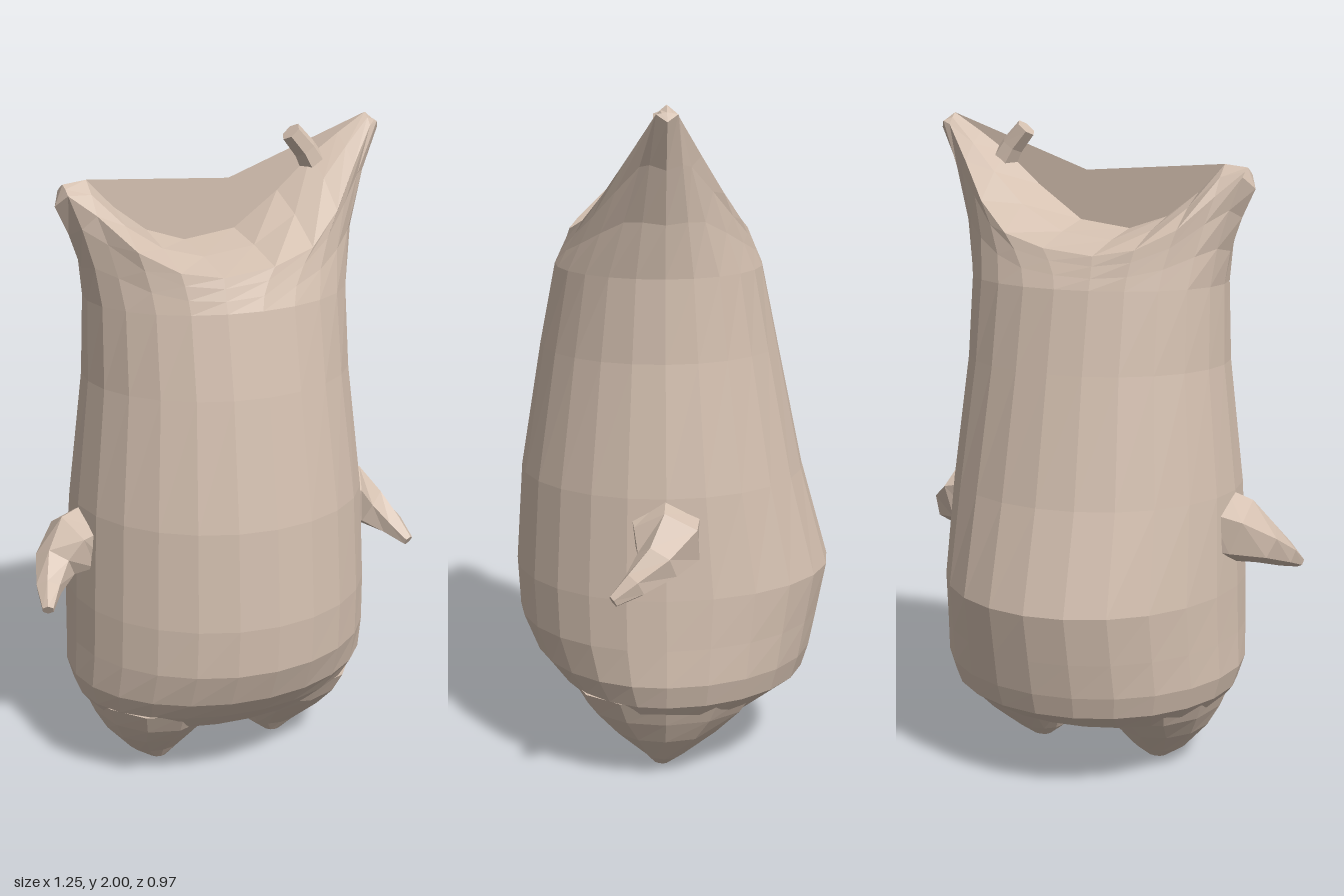
import * as THREE from 'three';

const SIDES = 24;
const material = new THREE.MeshStandardMaterial({ color: 0xd4c0b0, flatShading: true });

// Skin a stack of closed rings; both ends are closed with fans.
function loft(name, rings) {
  const n = rings[0].length, pos = [];
  const tri = (...p) => p.forEach((v) => pos.push(v.x, v.y, v.z));
  for (let i = 0; i < rings.length - 1; i++) {
    for (let j = 0; j < n; j++) {
      const k = (j + 1) % n;
      const a = rings[i][j], b = rings[i][k], c = rings[i + 1][k], d = rings[i + 1][j];
      tri(a, d, b);
      tri(b, d, c);
    }
  }
  const fan = (ring, top) => {
    const mid = ring.reduce((s, p) => s.add(p), new THREE.Vector3()).divideScalar(n);
    ring.forEach((p, j) => {
      const q = ring[(j + 1) % n];
      if (top) tri(mid, q, p); else tri(mid, p, q);
    });
  };
  fan(rings[0], false);
  fan(rings[rings.length - 1], true);
  const geo = new THREE.BufferGeometry();
  geo.setAttribute('position', new THREE.Float32BufferAttribute(pos, 3));
  geo.computeVertexNormals();
  const mesh = new THREE.Mesh(geo, material);
  mesh.name = name;
  return mesh;
}

// Horizontal oval with separate front and back reach.
function oval(y, cx, rx, zFront, zBack, n = SIDES, cz = 0.04) {
  return Array.from({ length: n }, (_, j) => {
    const a = (j / n) * Math.PI * 2, s = Math.sin(a);
    return new THREE.Vector3(cx + rx * Math.cos(a), y, cz + s * (s > 0 ? zFront - cz : cz - zBack));
  });
}

// Tapered limb along a path of [x, y, z, radius].
function limb(name, path, sides = 6) {
  const pts = path.map((p) => new THREE.Vector3(p[0], p[1], p[2]));
  const rings = pts.map((p, i) => {
    const t = pts[Math.min(i + 1, pts.length - 1)].clone().sub(pts[Math.max(i - 1, 0)]).normalize();
    const u = new THREE.Vector3(0, 1, 0).addScaledVector(t, -t.y).normalize();
    const v = u.clone().cross(t);
    return Array.from({ length: sides }, (_, j) => {
      const a = (j / sides) * Math.PI * 2;
      return p.clone().addScaledVector(u, path[i][3] * Math.cos(a)).addScaledVector(v, path[i][3] * Math.sin(a));
    });
  });
  return loft(name, rings);
}

function buildBody() {
  // y, half width, front z, back z
  const rings = [
    [0.19, 0.3, 0.2, -0.16],
    [0.2, 0.4, 0.29, -0.3],
    [0.27, 0.455, 0.37, -0.41],
    [0.34, 0.475, 0.43, -0.432],
    [0.45, 0.47, 0.477, -0.455],
    [0.6, 0.466, 0.485, -0.485],
    [0.9, 0.452, 0.465, -0.4],
    [1.28, 0.41, 0.402, -0.32],
    [1.52, 0.405, 0.355, -0.27],
  ].map(([y, rx, f, b]) => oval(y, 0, rx, f, b));

  // Saddle top, from the tall horn to the short one: x, rim y, front z, back z, ridge y
  const stations = [
    [0.535, 1.955, 0.04, 0.04, 1.955],
    [0.515, 1.975, 0.07, 0.01, 1.98],
    [0.49, 1.965, 0.075, 0.005, 2.0],
    [0.4, 1.86, 0.14, -0.06, 1.945],
    [0.31, 1.75, 0.21, -0.13, 1.885],
    [0.2, 1.665, 0.27, -0.19, 1.79],
    [0.06, 1.63, 0.305, -0.22, 1.69],
    [-0.1, 1.615, 0.31, -0.225, 1.67],
    [-0.22, 1.635, 0.285, -0.2, 1.71],
    [-0.32, 1.69, 0.22, -0.13, 1.785],
    [-0.4, 1.78, 0.12, -0.04, 1.868],
    [-0.47, 1.835, 0.083, -0.003, 1.86],
    [-0.495, 1.8, 0.04, 0.04, 1.8],
  ];
  const topRing = (s) => Array.from({ length: SIDES }, (_, j) => {
    const front = j <= SIDES / 2;
    const [x, y, f, b, ridge] = stations[front ? j : SIDES - j];
    const z = THREE.MathUtils.lerp(front ? f : b, 0.04, s);
    return new THREE.Vector3(x, THREE.MathUtils.lerp(y, ridge, Math.pow(s, 0.75)), z);
  });
  const shoulder = rings[rings.length - 1], rim = topRing(0);

  // The walls flare outward gradually on their way up to the rim
  [0.35, 0.7].forEach((t) => rings.push(shoulder.map((p, j) => {
    const q = p.clone().lerp(rim[j], t);
    q.x = THREE.MathUtils.lerp(p.x, rim[j].x, Math.pow(t, 1.6));
    return q;
  })));
  rings.push(rim, topRing(0.5), topRing(1));
  return loft('body', rings);
}

export function createModel() {
  const group = new THREE.Group();
  group.add(buildBody());

  for (const [side, label] of [[1, 'left'], [-1, 'right']]) {
    // Stubby pointed feet blending into the underside
    group.add(loft(label + 'Foot', [
      oval(0, side * 0.205, 0.03, 0.07, 0.02, 12),
      oval(0.04, side * 0.21, 0.085, 0.1, -0.03, 12),
      oval(0.13, side * 0.225, 0.15, 0.2, -0.14, 12),
      oval(0.2, side * 0.225, 0.19, 0.27, -0.22, 12),
      oval(0.27, side * 0.23, 0.215, 0.31, -0.27, 12),
    ]));

    // Short arms bending forward
    group.add(limb(label + 'Arm', [
      [side * 0.4, 0.79, 0.04, 0.115],
      [side * 0.47, 0.775, 0.04, 0.105],
      [side * 0.54, 0.735, 0.07, 0.065],
      [side * 0.585, 0.69, 0.135, 0.04],
      [side * 0.61, 0.652, 0.195, 0.018],
    ]));
  }

  // Small twig on the tall horn
  group.add(limb('twig', [
    [0.33, 1.84, 0.04, 0.045],
    [0.29, 1.905, 0.04, 0.036],
    [0.243, 1.958, 0.04, 0.032],
  ]));
  return group;
}
